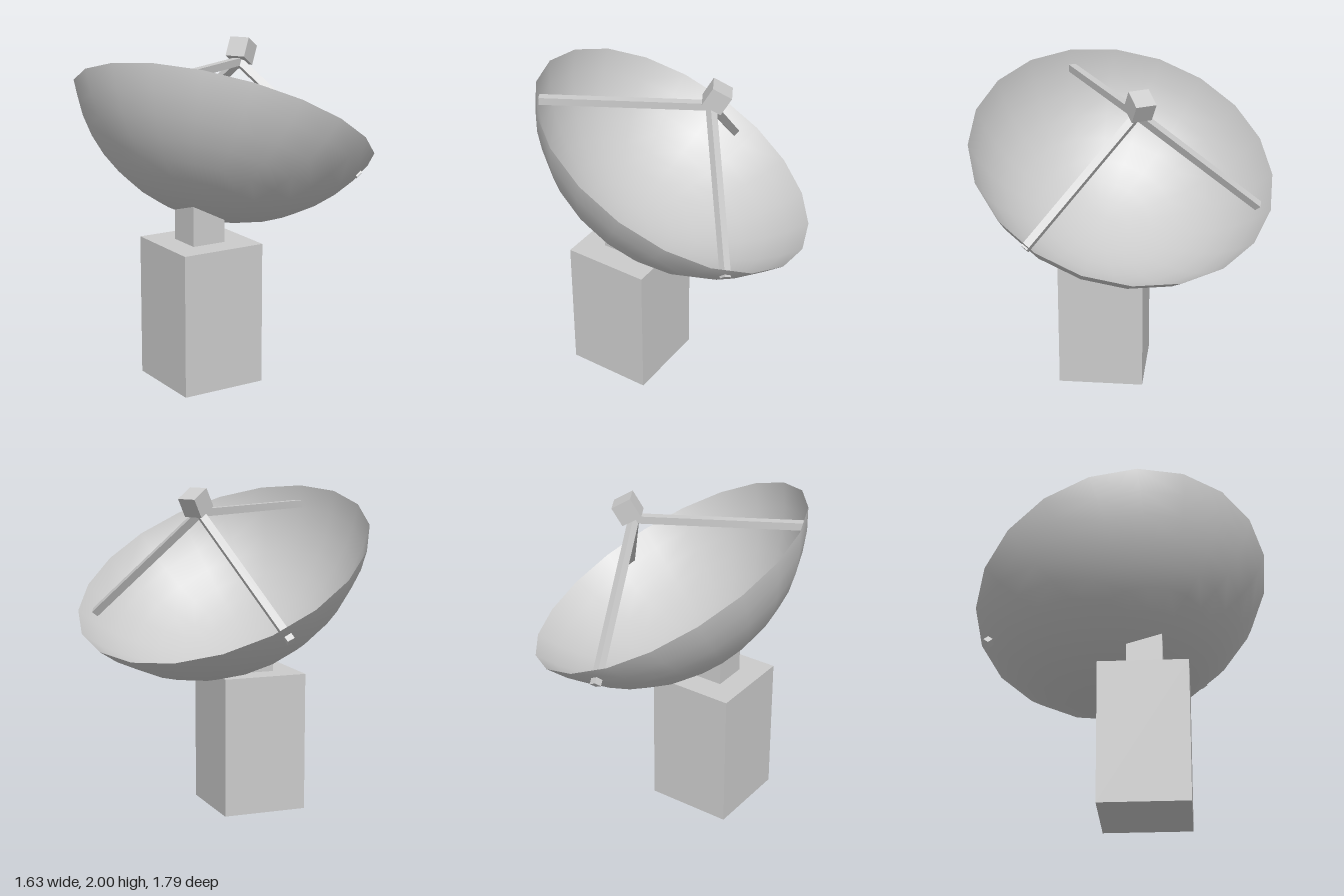
import * as THREE from 'three';

export function createModel() {
  const model = new THREE.Group();
  const grey = new THREE.MeshStandardMaterial({ color: 0xcccccc });
  const thin = new THREE.MeshStandardMaterial({ color: 0xcccccc, side: THREE.DoubleSide });
  const rad = THREE.MathUtils.degToRad;
  const add = (parent, name, geometry, material = grey) => {
    const mesh = new THREE.Mesh(geometry, material);
    mesh.name = name;
    parent.add(mesh);
    return mesh;
  };

  // Tilted dish assembly: its origin is the centre of the dish's sphere
  const radius = 1.024, capAngle = rad(64), focus = 0.45;
  const dish = new THREE.Group();
  dish.name = 'dishAssembly';
  dish.rotation.set(0, rad(26), rad(-30), 'YXZ');
  const axis = new THREE.Vector3(0, 1, 0).applyEuler(dish.rotation);
  dish.position.set(0, 1.505, 0).addScaledVector(axis, focus);
  model.add(dish);

  // Reflector: a thin cap of a sphere
  add(dish, 'reflector',
    new THREE.SphereGeometry(radius, 20, 8, 0, Math.PI * 2, Math.PI - capAngle, capAngle), thin);

  // Feed box at the focus
  add(dish, 'feedBox', new THREE.BoxGeometry(0.125, 0.125, 0.125)).position.y = 0.02;

  // Three struts from the feed box to the reflector
  [[180, 0.985], [-60, 1.0], [60, 1.025]].forEach(([yaw, length]) => {
    const geometry = new THREE.BoxGeometry(length, 0.045, 0.045).translate(length / 2, 0, 0);
    const strut = add(dish, 'strut', geometry);
    strut.position.y = -0.05;
    strut.rotation.set(0, rad(yaw), rad(-30), 'YXZ');
  });

  // Pedestal, standing under the lowest pole of the reflector
  const pole = dish.position.clone().addScaledVector(axis, -radius);
  const pedestalTop = 0.85, turn = rad(-3.7);
  add(model, 'pedestal', new THREE.BoxGeometry(0.525, pedestalTop, 0.525)
    .rotateY(turn).translate(-0.25, pedestalTop / 2, 0.125));

  // Neck: a block whose top is cut along the back of the reflector
  const neck = new THREE.BoxGeometry(0.212, 0.2, 0.212)
    .rotateY(turn).translate(pole.x, pedestalTop + 0.1, pole.z);
  const p = neck.attributes.position;
  for (let i = 0; i < p.count; i++) {
    if (p.getY(i) < pedestalTop + 0.1) continue;
    const dx = p.getX(i) - pole.x, dz = p.getZ(i) - pole.z;
    p.setY(i, pole.y - 0.002 - (axis.x * dx + axis.z * dz) / axis.y);
  }
  neck.computeVertexNormals();
  add(model, 'neck', neck);

  return model;
}
